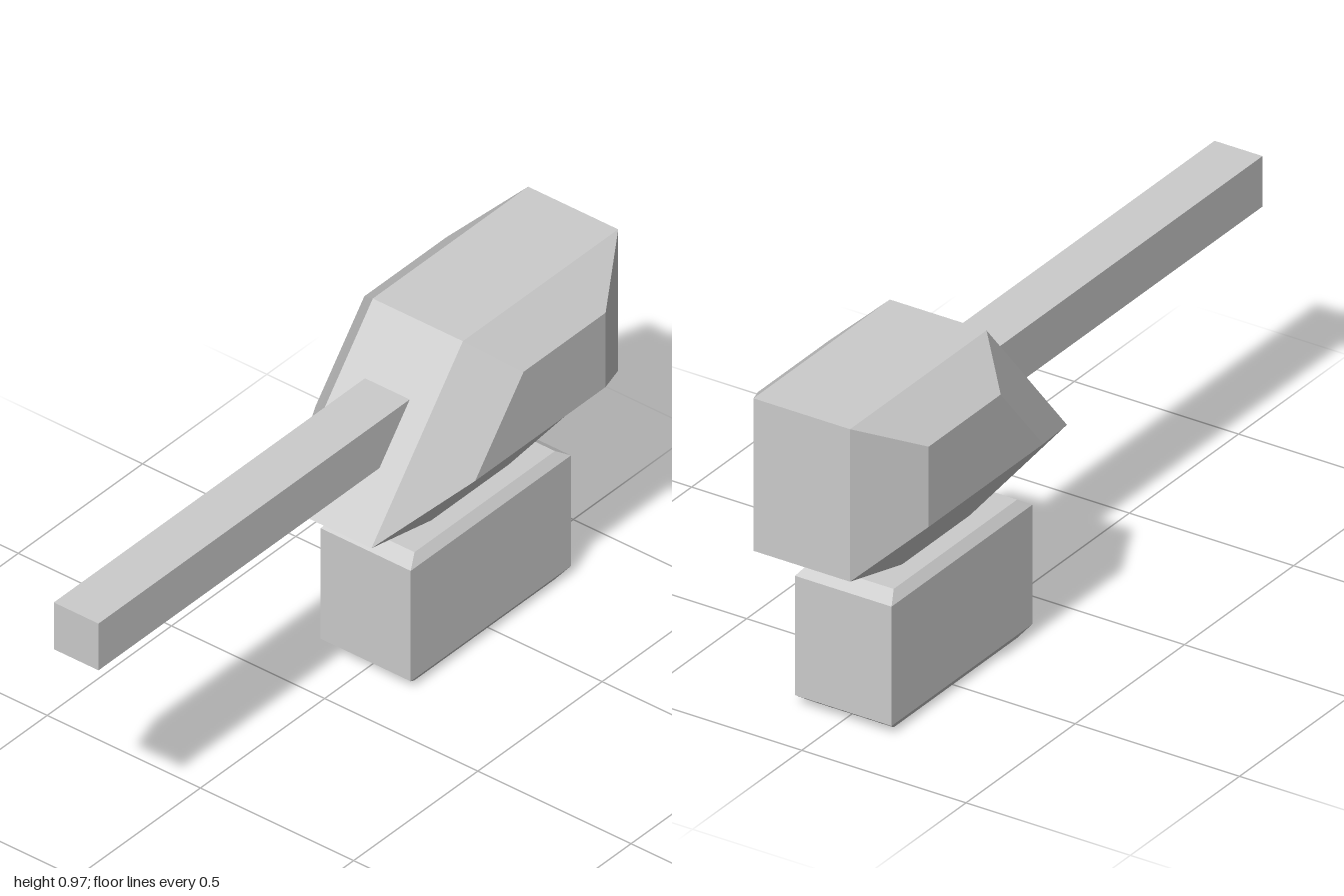
import * as THREE from 'three';

const material = new THREE.MeshStandardMaterial({ color: 0xcccccc, flatShading: true });

// Skin a list of equal-length loops (counter-clockwise seen from the last one) and cap both ends
function loft(name, loops) {
  const pos = [];
  const tri = (a, b, c) => pos.push(...a, ...b, ...c);
  const n = loops[0].length;
  for (let s = 0; s < loops.length - 1; s++) {
    const low = loops[s], high = loops[s + 1];
    for (let i = 0; i < n; i++) {
      const j = (i + 1) % n;
      tri(low[i], low[j], high[j]);
      tri(low[i], high[j], high[i]);
    }
  }
  const first = loops[0], last = loops[loops.length - 1];
  for (let i = 1; i < n - 1; i++) {
    tri(first[0], first[i + 1], first[i]);
    tri(last[0], last[i], last[i + 1]);
  }
  const geo = new THREE.BufferGeometry();
  geo.setAttribute('position', new THREE.Float32BufferAttribute(pos, 3));
  geo.computeVertexNormals();
  const mesh = new THREE.Mesh(geo, material);
  mesh.name = name;
  return mesh;
}

// Horizontal rectangle at height y
const rect = (y, halfX, front, back) => [
  [-halfX, y, front], [halfX, y, front], [halfX, y, back], [-halfX, y, back],
];

export function createModel() {
  const model = new THREE.Group();
  model.name = 'turret';

  // Base block with bevelled top and bottom
  model.add(loft('base', [
    rect(0, 0.127, -0.205, -0.77),
    rect(0.028, 0.147, -0.165, -0.81),
    rect(0.373, 0.147, -0.165, -0.81),
    rect(0.4, 0.127, -0.205, -0.77),
  ]));

  // Neck flaring up into the housing
  model.add(loft('neck', [
    rect(0.4, 0.073, -0.34, -0.65),
    rect(0.532, 0.147, -0.007, -1),
  ]));

  // Housing: sloped-front profile with a smaller copy bulging out on each side
  const core = [[0.532, -0.007], [0.532, -1], [0.973, -1], [0.973, -0.375]];
  const cheek = [[0.638, -0.285], [0.638, -0.81], [0.87, -0.81], [0.87, -0.48]];
  const at = (x, profile) => profile.map(([y, z]) => [x, y, z]);
  model.add(loft('housing', [
    at(-0.26, cheek), at(-0.147, core), at(0.147, core), at(0.26, cheek),
  ]));

  // Square barrel running into the sloped front
  const barrel = new THREE.Mesh(new THREE.BoxGeometry(0.146, 0.146, 1.3), material);
  barrel.name = 'barrel';
  barrel.position.set(0, 0.753, 0.35);
  model.add(barrel);

  return model;
}
